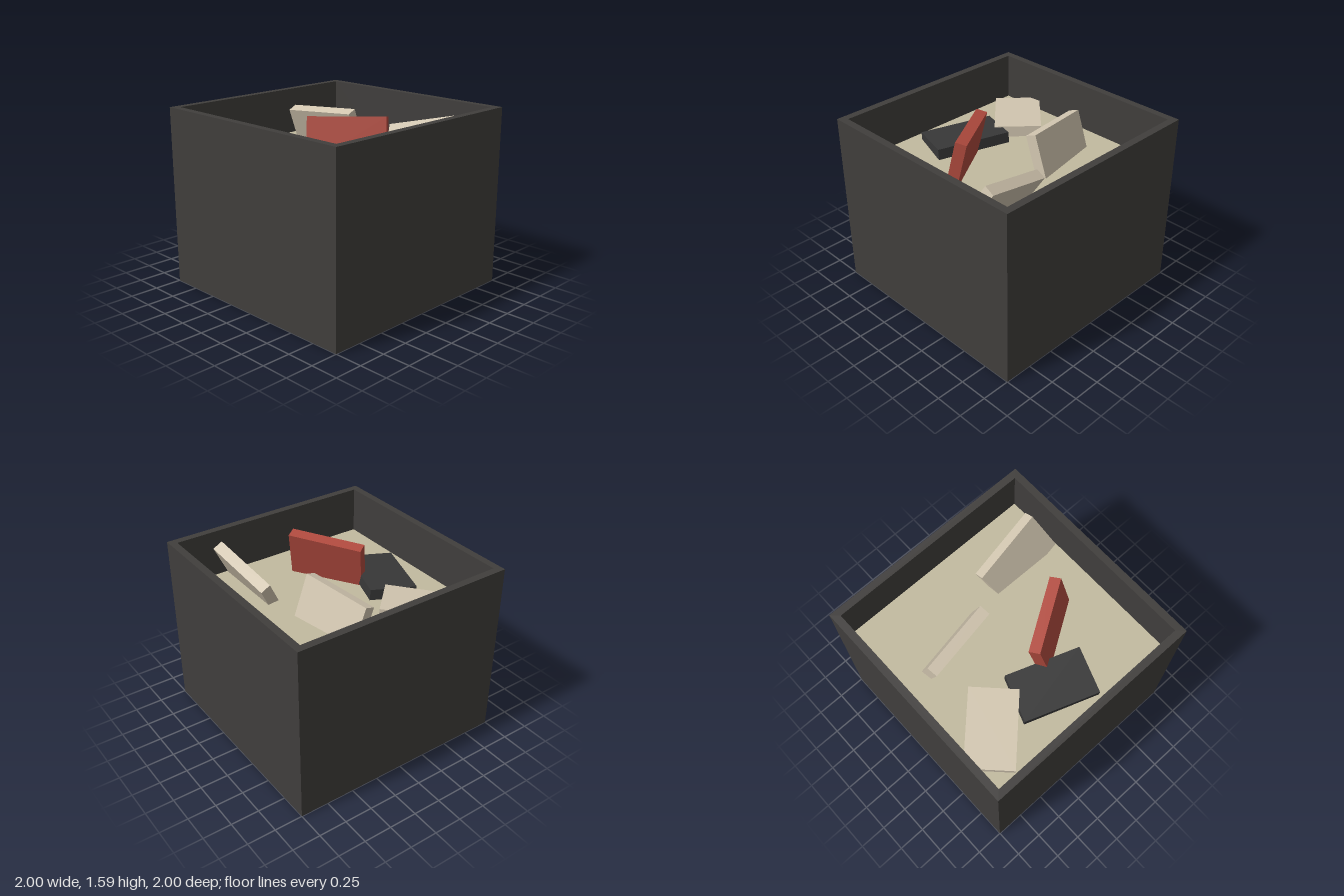
import * as THREE from 'three';

const BOX_H = 1.59, WALL = 0.065, FILL_Y = 1.17;
const BLOCK = { length: 0.664, width: 0.415, thickness: 0.097 };

const material = (color) => new THREE.MeshStandardMaterial({ color });
const darkGrey = material(0x403e3c);
const sand = material(0xc2ba9f);
const cream = material(0xd2c6b0);
const red = material(0xb04a3e);
const charcoal = material(0x383838);

function addMesh(group, name, geometry, mat) {
  const mesh = new THREE.Mesh(geometry, mat);
  mesh.name = name;
  group.add(mesh);
  return mesh;
}

// Flat block placed by one corner, its length direction and its width direction;
// the thickness follows along their cross product.
function addBlock(group, name, mat, corner, along, across) {
  const { length, width, thickness } = BLOCK;
  const geometry = new THREE.BoxGeometry(length, width, thickness);
  geometry.translate(length / 2, width / 2, thickness / 2);
  const x = new THREE.Vector3(...along).normalize();
  const z = x.clone().cross(new THREE.Vector3(...across)).normalize();
  const y = z.clone().cross(x);
  const mesh = addMesh(group, name, geometry, mat);
  mesh.quaternion.setFromRotationMatrix(new THREE.Matrix4().makeBasis(x, y, z));
  mesh.position.set(...corner);
}

function square(half, PathType) {
  return new PathType([[-1, -1], [1, -1], [1, 1], [-1, 1]]
    .map(([x, y]) => new THREE.Vector2(x * half, y * half)));
}

export function createModel() {
  const model = new THREE.Group();
  model.name = 'boxOfBlocks';
  const inner = 1 - WALL;

  // Open box: four walls in one ring, closed by a floor
  const ring = square(1, THREE.Shape);
  ring.holes.push(square(inner, THREE.Path));
  const walls = new THREE.ExtrudeGeometry(ring, { depth: BOX_H, bevelEnabled: false });
  walls.rotateX(-Math.PI / 2);
  addMesh(model, 'boxWalls', walls, darkGrey);
  const floor = new THREE.BoxGeometry(inner * 2, WALL, inner * 2);
  addMesh(model, 'boxFloor', floor, darkGrey).position.y = WALL / 2;

  // Level filling inside the box
  const fillH = FILL_Y - WALL;
  const fill = new THREE.BoxGeometry(inner * 2, fillH, inner * 2);
  addMesh(model, 'filling', fill, sand).position.y = WALL + fillH / 2;

  // Blocks standing tilted in the filling
  addBlock(model, 'redBlock', red, [0.02, 1.567, 0.36], [0.57, 0.028, -0.36], [0.05, -0.425, 0.08]);
  addBlock(model, 'middleBlock', cream, [-0.043, 1.528, -0.275], [-0.657, -0.037, 0.107], [0, -0.32, -0.115]);
  addBlock(model, 'backBlock', cream, [0.17, 1.392, -0.5], [0.64, 0.158, -0.08], [0.11, -0.349, 0.19]);

  // Blocks lying nearly flat
  addBlock(model, 'flatCreamBlock', cream, [-0.23, 1.285, 0.4], [-0.465, -0.04, 0.464], [-0.289, 0.01, -0.3]);
  addBlock(model, 'flatDarkBlock', charcoal, [-0.24, 1.29, 0.235], [0.625, -0.02, 0.222], [-0.145, -0.03, 0.396]);

  return model;
}
